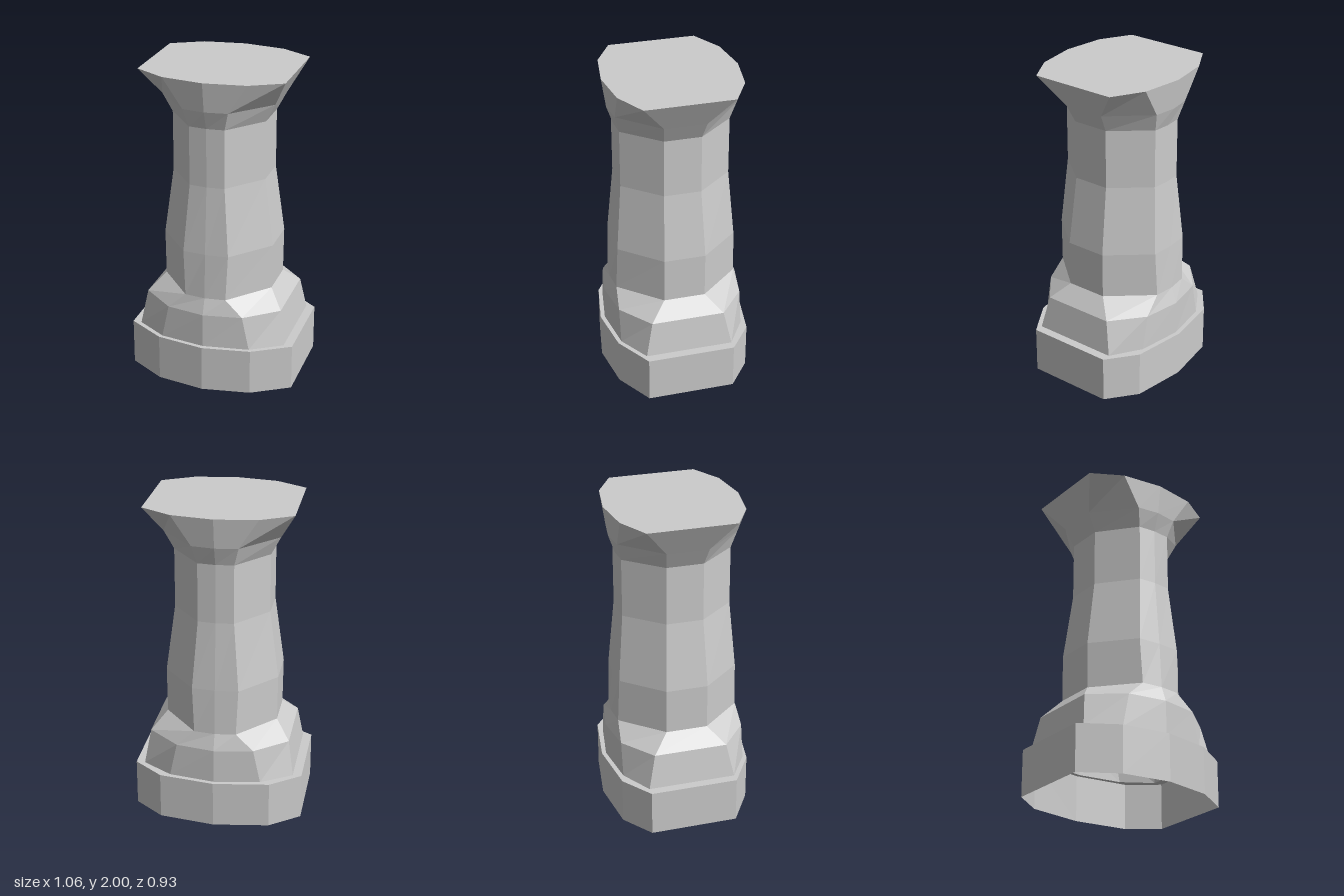
import * as THREE from 'three';

const material = new THREE.MeshStandardMaterial({ color: 0xcccccc, flatShading: true, side: THREE.DoubleSide });

// Ten-sided cross-section: flat sides at +-x, shallow points at the middle of front and back.
// backX is the corner position on the back where it differs from the front.
function ring([y, sideX, sideZ, cornerX, cornerZ, midZ, backX = cornerX]) {
  return [
    [0, midZ], [cornerX, cornerZ], [sideX, sideZ], [sideX, -sideZ], [backX, -cornerZ],
    [0, -midZ], [-backX, -cornerZ], [-sideX, -sideZ], [-sideX, sideZ], [-cornerX, cornerZ],
  ].map(([x, z]) => [x, y, z]);
}

// Skin a stack of cross-sections from bottom to top, optionally closing the top.
function loft(name, sections, capped = false) {
  const rings = sections.map(ring);
  const n = rings[0].length;
  const index = [];
  for (let r = 0; r < rings.length - 1; r++) {
    for (let i = 0; i < n; i++) {
      const a = r * n + i, b = r * n + (i + 1) % n;
      index.push(a, b, b + n, a, b + n, a + n);
    }
  }
  if (capped) {
    const top = (rings.length - 1) * n;
    for (let i = 1; i < n - 1; i++) index.push(top, top + i, top + i + 1);
  }
  const geometry = new THREE.BufferGeometry();
  geometry.setAttribute('position', new THREE.Float32BufferAttribute(rings.flat(2), 3));
  geometry.setIndex(index);
  const flat = geometry.toNonIndexed();
  flat.computeVertexNormals();
  const mesh = new THREE.Mesh(flat, material);
  mesh.name = name;
  return mesh;
}

export function createModel() {
  const group = new THREE.Group();
  group.name = 'column';

  // Sections: y, sideX, sideZ, cornerX, cornerZ, midZ, backX
  const plinthFoot = [0.295, 0.475, 0.275, 0.285, 0.395, 0.44];
  const shaftFoot = [0.61, 0.35, 0.13, 0.13, 0.385, 0.4];
  const shaftTop = [1.7, 0.295, 0.115, 0.11, 0.34, 0.35];

  // Hollow base, open underneath, with a narrow ledge on top
  group.add(loft('base', [
    [0, 0.53, 0.275, 0.3, 0.417, 0.467, 0.345],
    [0.295, 0.53, 0.275, 0.3, 0.417, 0.467, 0.345],
    plinthFoot,
  ]));

  // Tapering plinth that narrows into the shaft
  group.add(loft('plinth', [
    plinthFoot,
    [0.51, 0.44, 0.23, 0.24, 0.395, 0.437],
    shaftFoot,
  ]));

  // Shaft with a slight swelling low down
  group.add(loft('shaft', [
    shaftFoot,
    [0.9, 0.353, 0.13, 0.143, 0.375, 0.385],
    [1.33, 0.295, 0.115, 0.11, 0.34, 0.35],
    shaftTop,
  ]));

  // Flared capital with a flat top
  group.add(loft('capital', [
    shaftTop,
    [1.815, 0.355, 0.13, 0.14, 0.37, 0.39],
    [2, 0.453, 0.272, 0.26, 0.38, 0.417],
  ], true));

  return group;
}
